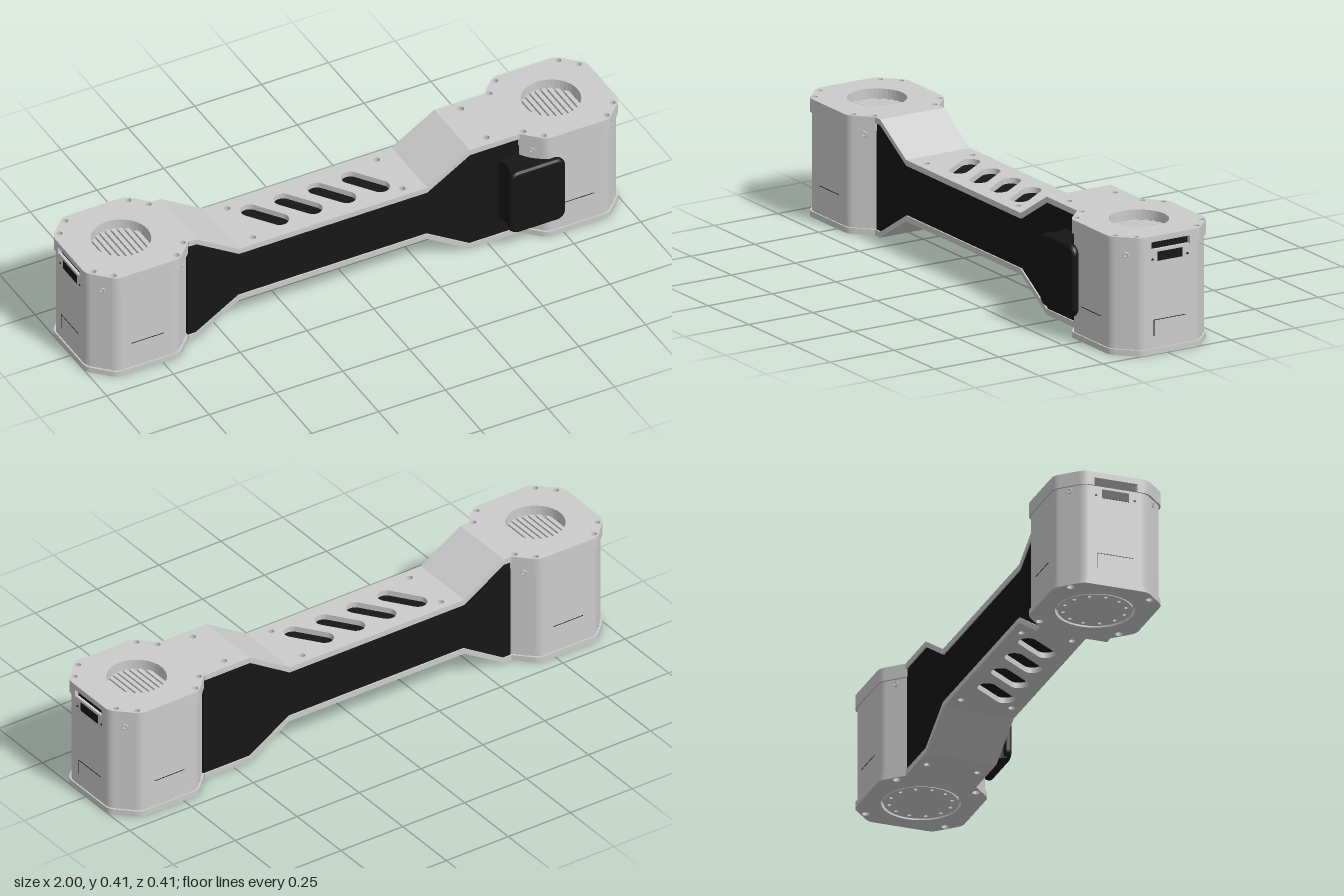
import * as THREE from 'three';

const H = 0.408;          // overall height
const T = 0.02;           // plate thickness
const CZ = -0.0135;       // depth centre of the frame
const END_X = 0.805;      // centre of each end housing
const BAR = 0.125;        // half depth of the bar

const grey = new THREE.MeshStandardMaterial({ color: 0xcccccc });
const black = new THREE.MeshStandardMaterial({ color: 0x161616 });

function add(parent, name, geometry, material = grey) {
  const mesh = new THREE.Mesh(geometry, material);
  mesh.name = name;
  parent.add(mesh);
  return mesh;
}

function box(parent, name, size, pos, material) {
  const mesh = add(parent, name, new THREE.BoxGeometry(...size), material);
  mesh.position.set(...pos);
  return mesh;
}

// Extrudes a plan shape (x, -z) upward from y0 to y1
function slab(shape, y0, y1) {
  const g = new THREE.ExtrudeGeometry(shape, { depth: y1 - y0, bevelEnabled: false, curveSegments: 20 });
  return g.rotateX(-Math.PI / 2).translate(0, y0, 0);
}

// Extrudes a side outline (x, y) from z0 to z1
function sideExtrude(points, z0, z1) {
  const shape = new THREE.Shape(points.map(([x, y]) => new THREE.Vector2(x, y)));
  return new THREE.ExtrudeGeometry(shape, { depth: z1 - z0, bevelEnabled: false }).translate(0, 0, z0);
}

function circle(x, y, r) {
  return new THREE.Path().absarc(x, y, r, 0, Math.PI * 2, true);
}

// Chamfered rectangle with softened corners; optional notch in the +x side
function octagon(hx, hz, c, notch) {
  const pts = [[hx, -hz + c], [hx, hz - c], [hx - c, hz], [-hx + c, hz],
    [-hx, hz - c], [-hx, -hz + c], [-hx + c, -hz], [hx - c, -hz]].map(p => new THREE.Vector2(...p));
  const s = new THREE.Shape();
  pts.forEach((p, i) => {
    const a = pts[(i + 7) % 8], b = pts[(i + 1) % 8];
    const inP = p.clone().lerp(a, 0.02 / p.distanceTo(a));
    const outP = p.clone().lerp(b, 0.02 / p.distanceTo(b));
    if (i === 0) s.moveTo(inP.x, inP.y); else s.lineTo(inP.x, inP.y);
    s.quadraticCurveTo(p.x, p.y, outP.x, outP.y);
    if (i === 0 && notch) {
      s.lineTo(hx, -notch); s.lineTo(hx - 0.035, -notch);
      s.lineTo(hx - 0.035, notch); s.lineTo(hx, notch);
    }
  });
  s.closePath();
  return s;
}

// Slanted capsule opening
function slot(x) {
  const a = Math.atan2(-0.044, 0.032), q = Math.PI / 2;
  return new THREE.Path()
    .absarc(x + 0.032, -0.044, 0.032, a - q, a + q, false)
    .absarc(x - 0.032, 0.044, 0.032, a + q, a + 3 * q, false);
}

// Flat strip of the bar with bolt holes and slots
function strip(x0, x1, boltXs, slotXs) {
  const s = new THREE.Shape([[x0, -BAR], [x1, -BAR], [x1, BAR], [x0, BAR]].map(p => new THREE.Vector2(...p)));
  for (const x of boltXs) for (const z of [-0.089, 0.089]) s.holes.push(circle(x, z, 0.011));
  for (const x of slotXs) s.holes.push(slot(x));
  return s;
}

// One end housing, its outer side facing +x
function createHousing(name) {
  const g = new THREE.Group();
  g.name = name;
  add(g, 'housingBody', slab(octagon(0.19, 0.1865, 0.078), T, 0.36));

  // top cap: notched rim and perforated face
  const rim = octagon(0.195, 0.1915, 0.078, 0.0755);
  rim.holes.push(circle(0, 0, 0.1));
  add(g, 'capRim', slab(rim, 0.36, H - T));
  const face = octagon(0.195, 0.1915, 0.078);
  face.holes.push(circle(0, 0, 0.1));
  for (const sx of [-1, 1]) for (const sz of [-1, 1]) {
    face.holes.push(circle(sx * 0.118, sz * 0.169, 0.01), circle(sx * 0.167, sz * 0.118, 0.01));
  }
  add(g, 'capFace', slab(face, H - T, H));

  // vent slats in the round opening
  for (let i = -4; i <= 4; i++) {
    const x = i * 0.021;
    box(g, 'ventSlat', [0.015, 0.014, 2 * Math.sqrt(0.0098 - x * x)], [x, 0.367, 0]);
  }

  // bottom flange with a bolted disc
  const base = octagon(0.195, 0.1915, 0.078);
  base.holes.push(circle(0, 0, 0.132));
  for (const sx of [-1, 1]) for (const sz of [-1, 1]) base.holes.push(circle(sx * 0.143, sz * 0.14, 0.013));
  add(g, 'bottomFlange', slab(base, 0, T));
  const disc = new THREE.Shape().absarc(0, 0, 0.124, 0, Math.PI * 2, false);
  for (let i = 0; i < 12; i++) {
    const a = i * Math.PI / 6;
    disc.holes.push(circle(0.105 * Math.cos(a), 0.105 * Math.sin(a), 0.007));
  }
  add(g, 'bottomDisc', slab(disc, 0.002, T));

  // latch in the notch, connector and its two screws
  box(g, 'notchLatch', [0.02, 0.027, 0.15], [0.171, 0.3745, 0], black);
  box(g, 'connector', [0.01, 0.031, 0.096], [0.187, 0.335, 0], black);
  for (const z of [-0.068, 0.068]) {
    const s = add(g, 'connectorScrew', new THREE.CylinderGeometry(0.004, 0.004, 0.006, 10), black);
    s.rotation.z = Math.PI / 2;
    s.position.set(0.189, 0.327, z);
  }

  // recessed ring screws on the chamfered corners
  for (const sx of [-1, 1]) for (const sz of [-1, 1]) {
    const s = add(g, 'cornerScrew', new THREE.TorusGeometry(0.008, 0.003, 6, 16));
    s.position.set(sx * 0.151, 0.345, sz * 0.1475);
    s.rotation.y = Math.atan2(sx, sz);
  }

  // panel seams
  box(g, 'outerSeam', [0.002, 0.002, 0.125], [0.19, 0.117, 0], black);
  box(g, 'outerSeamUpright', [0.002, 0.055, 0.002], [0.19, 0.09, 0.0625], black);
  for (const s of [-1, 1]) box(g, 'sideSeam', [0.12, 0.002, 0.002], [0, 0.118, s * 0.1865], black);
  return g;
}

export function createModel() {
  const model = new THREE.Group();
  model.name = 'bonelikeArm';
  const frame = new THREE.Group();
  frame.name = 'frame';
  frame.position.z = CZ;
  model.add(frame);

  // end housings
  for (const s of [1, -1]) {
    const h = createHousing(s > 0 ? 'leftHousing' : 'rightHousing');
    h.position.x = s * END_X;
    if (s < 0) h.rotation.y = Math.PI;
    frame.add(h);
  }

  // cranked plates along top and bottom of the bar
  const low = 0.31, bolts = [-0.36, 0.2], slots = [-0.267, -0.142, -0.016, 0.11];
  const flats = [
    [strip(-0.62, -0.59, [], []), H], [strip(-0.43, 0.275, bolts, slots), low],
    [strip(0.435, 0.62, [0.515], []), H]];
  const ramps = [[-0.59, H, -0.43, low], [0.275, low, 0.435, H]];
  for (const top of [true, false]) {
    const name = top ? 'topPlate' : 'bottomPlate';
    for (const [s, y] of flats) add(frame, name, top ? slab(s, y - T, y) : slab(s, H - y, H - y + T));
    for (const [x0, y0, x1, y1] of ramps) {
      const p = top
        ? [[x0, y0 - T], [x1, y1 - T], [x1, y1], [x0, y0]]
        : [[x0, H - y0], [x1, H - y1], [x1, H - y1 + T], [x0, H - y0 + T]];
      add(frame, name + 'Ramp', sideExtrude(p, -BAR, BAR));
    }
  }

  // dark side panels and inner core following the plates
  const upper = [[-0.62, H], [-0.59, H], [-0.43, low], [0.275, low], [0.435, H], [0.62, H]];
  const outline = [
    ...upper.map(([x, y]) => [x, H - y + T]),
    ...upper.slice().reverse().map(([x, y]) => [x, y - T])];
  add(frame, 'frontPanel', sideExtrude(outline, 0.104, 0.12), black);
  add(frame, 'backPanel', sideExtrude(outline, -0.12, -0.104), black);
  add(frame, 'innerCore', sideExtrude(outline, -0.077, 0.077), black);

  // front clip: curved stem and rounded pad
  const clip = new THREE.Group();
  clip.name = 'frontClip';
  model.add(clip);
  const stem = new THREE.Shape();
  stem.moveTo(0.535, -0.1);
  stem.quadraticCurveTo(0.57, -0.14, 0.543, -0.19);
  stem.lineTo(0.72, -0.19);
  stem.quadraticCurveTo(0.66, -0.17, 0.63, -0.13);
  stem.lineTo(0.61, -0.1);
  stem.closePath();
  const stemMesh = add(clip, 'clipStem', slab(stem, 0.085, 0.325), black);
  stemMesh.material = black.clone();
  stemMesh.material.side = THREE.DoubleSide;
  const pad = new THREE.Shape();
  const x0 = 0.547, x1 = 0.733, y0 = 0.092, y1 = 0.318, r = 0.022;
  pad.absarc(x1 - r, y1 - r, r, 0, Math.PI / 2, false);
  pad.absarc(x0 + r, y1 - r, r, Math.PI / 2, Math.PI, false);
  pad.absarc(x0 + r, y0 + r, r, Math.PI, Math.PI * 1.5, false);
  pad.absarc(x1 - r, y0 + r, r, Math.PI * 1.5, Math.PI * 2, false);
  const padGeo = new THREE.ExtrudeGeometry(pad, {
    depth: 0.004, bevelThickness: 0.012, bevelSize: 0.012, bevelSegments: 4, curveSegments: 8 });
  add(clip, 'clipPad', padGeo.translate(0, 0, 0.191), black);
  return model;
}
